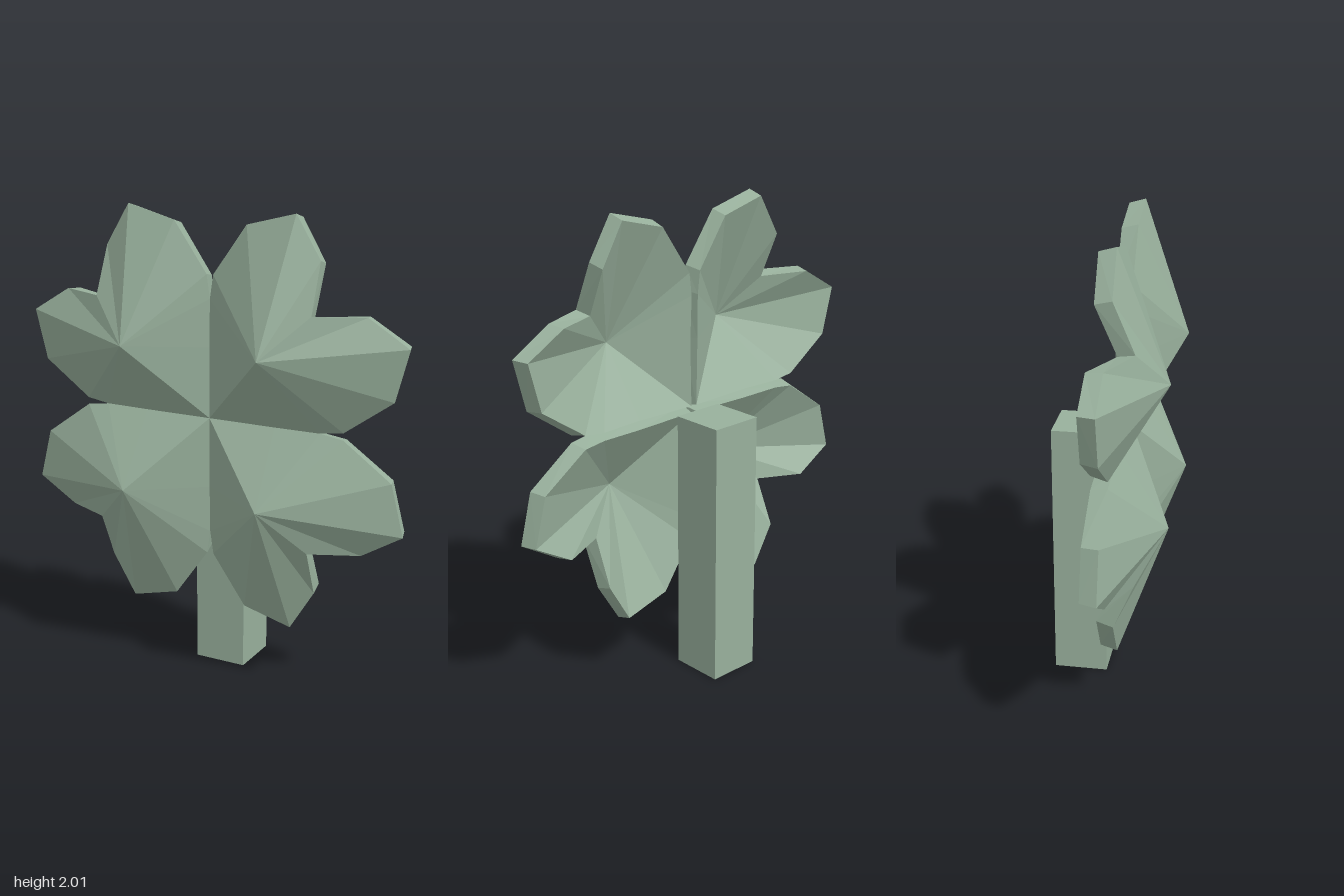
import * as THREE from 'three';

const CENTRE_Y = 1.14;
const THICKNESS = 0.07;
const APEX = [0.31, 0.31, 0.26];

// Half of a heart-shaped petal rim (x, y, z), from the flower centre to the notch
const HALF_RIM = [
  [0, 0, 0.065], [0.3, 0, 0.065], [0.5, 0, 0.06], [0.6, 0.015, 0.06], [0.81, 0.165, 0.06],
  [0.865, 0.38, 0.06], [0.69, 0.487, 0.06], [0.49, 0.487, 0.147],
];

// The other half is the same rim reflected across the diagonal
const RIM = [
  ...HALF_RIM,
  ...HALF_RIM.slice(1, -1).reverse().map(([x, y, z]) => [y, x, z]),
];

// Back rim: pushed back and drawn slightly towards the petal's peak
function backPoint([x, y, z]) {
  const dx = APEX[0] - x, dy = APEX[1] - y;
  const k = 0.02 / Math.hypot(dx, dy);
  return [x + dx * k, y + dy * k, z - THICKNESS];
}

// Faceted shell: peaked front, hollow back and a thin rim wall
function petalGeometry(sx, sy) {
  const pos = [];
  const tri = (a, b, c) => {
    const corners = sx * sy > 0 ? [a, b, c] : [a, c, b];
    for (const [x, y, z] of corners) pos.push(x * sx, y * sy, z);
  };
  const apexBack = [APEX[0], APEX[1], APEX[2] - 0.075];
  RIM.forEach((p, i) => {
    const n = RIM[(i + 1) % RIM.length];
    const q = backPoint(p), m = backPoint(n);
    tri(APEX, p, n);
    tri(apexBack, m, q);
    tri(p, q, m);
    tri(p, m, n);
  });
  const geo = new THREE.BufferGeometry();
  geo.setAttribute('position', new THREE.Float32BufferAttribute(pos, 3));
  geo.computeVertexNormals();
  return geo;
}

export function createModel() {
  const green = new THREE.MeshStandardMaterial({ color: 0x98b09c });
  green.name = 'sageGreen';
  const model = new THREE.Group();
  model.name = 'fourPetalFlower';

  // Four petals, mirrored about the flower centre
  const flower = new THREE.Group();
  flower.name = 'petals';
  flower.position.y = CENTRE_Y;
  for (const sy of [1, -1]) {
    for (const sx of [1, -1]) {
      const petal = new THREE.Mesh(petalGeometry(sx, sy), green);
      petal.name = (sy > 0 ? 'upper' : 'lower') + (sx > 0 ? 'Left' : 'Right') + 'Petal';
      flower.add(petal);
    }
  }
  model.add(flower);

  // Square post standing behind the petals
  const stem = new THREE.Mesh(new THREE.BoxGeometry(0.23, CENTRE_Y, 0.23), green);
  stem.name = 'stem';
  stem.position.set(0, CENTRE_Y / 2, -0.145);
  model.add(stem);

  return model;
}
